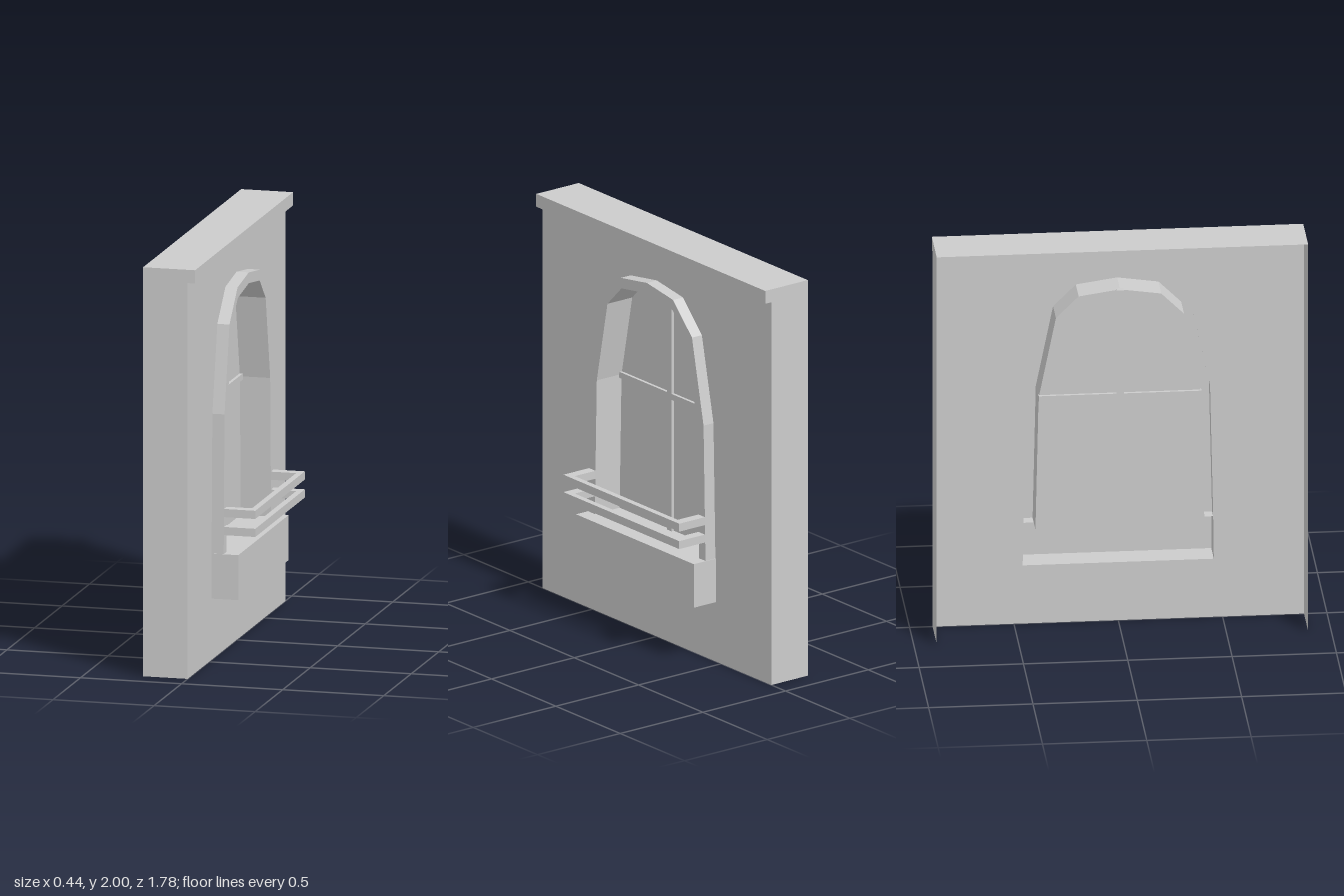
import * as THREE from 'three';

const material = new THREE.MeshStandardMaterial({ color: 0xcccccc, flatShading: true, side: THREE.DoubleSide });

// Half outlines of the arch (half width, height), from the foot to the crown
const OUTER = [[0.455, 0.52], [0.44, 1.2], [0.35, 1.62], [0.203, 1.77], [0, 1.8]];
const INNER = [[0.405, 0.52], [0.39, 1.2], [0.307, 1.61], [0.198, 1.718], [0, 1.747]];
const HALF = 0.89, BACK = -0.22, GLASS = -0.09, FRAME = 0.06;
const BOX = { half: 0.458, bottom: 0.3, top: 0.52, depth: 0.133 };

// Mirrors a half outline into a full arch, left foot to right foot
const arch = (half) => [...half, ...half.slice(0, -1).reverse().map(([x, y]) => [-x, y])];
const polygon = (pts) => pts.map(([x, y]) => new THREE.Vector2(x, y));

function addMesh(parent, name, geometry, x = 0, y = 0, z = 0) {
  const mesh = new THREE.Mesh(geometry, material);
  mesh.name = name;
  mesh.position.set(x, y, z);
  parent.add(mesh);
  return mesh;
}

// Open ribbon: a polyline of 3D points swept along one vector
function ribbon(points, sweep) {
  const position = [];
  for (let i = 0; i < points.length - 1; i++) {
    const a = points[i], b = points[i + 1];
    const c = b.map((v, k) => v + sweep[k]), d = a.map((v, k) => v + sweep[k]);
    position.push(...a, ...b, ...c, ...a, ...c, ...d);
  }
  const geometry = new THREE.BufferGeometry();
  geometry.setAttribute('position', new THREE.Float32BufferAttribute(position, 3));
  geometry.computeVertexNormals();
  return geometry;
}

// Profile (z, y) swept across the width, reversed so that it faces outward
const across = (profile, half) => ribbon(profile.map(([z, y]) => [-half, y, z]), [2 * half, 0, 0]);

// Outline (x, y) swept from z0 to z1
const through = (outline, z0, z1) => ribbon(outline.map(([x, y]) => [x, y, z0]), [0, 0, z1 - z0]);

export function createModel() {
  const model = new THREE.Group();
  model.name = 'windowWall';
  // Built facing +z, then turned so that the window faces +x
  const panel = new THREE.Group();
  panel.name = 'wallPanel';
  panel.rotation.y = Math.PI / 2;
  model.add(panel);

  // Wall face with an opening for the window and planter
  const wall = new THREE.Shape(polygon([[-HALF, 0], [HALF, 0], [HALF, 2], [-HALF, 2]]));
  wall.holes.push(new THREE.Path(polygon([
    [BOX.half, BOX.bottom], ...arch(OUTER), [-BOX.half, BOX.bottom]])));
  addMesh(panel, 'wallFace', new THREE.ShapeGeometry(wall));

  // Top with overhanging cornice
  addMesh(panel, 'cornice', across([[0, 1.935], [0.037, 1.935], [0.037, 2], [BACK, 2]], HALF));

  for (const side of [-1, 1]) {
    const label = side > 0 ? 'right' : 'left';
    // Wall returns and cornice ends
    addMesh(panel, label + 'WallReturn', through([[side * HALF, 0], [side * HALF, 2]], BACK, 0));
    addMesh(panel, label + 'CorniceEnd', through([[side * HALF, 1.935], [side * HALF, 2]], 0, 0.037));
    // Planter ends
    addMesh(panel, label + 'PlanterEnd',
      through([[side * BOX.half, BOX.bottom], [side * BOX.half, BOX.top]], 0, BOX.depth));
  }

  // Window surround: front ring, outer edge and deep reveal
  const ring = new THREE.Shape(polygon([...arch(OUTER), ...arch(INNER).reverse()]));
  addMesh(panel, 'frameFront', new THREE.ShapeGeometry(ring), 0, 0, FRAME);
  addMesh(panel, 'frameEdge', through(arch(OUTER), 0, FRAME));
  addMesh(panel, 'windowReveal', through(arch(INNER), GLASS, FRAME));

  // Glazing with crossed glazing bars
  const pane = new THREE.Shape(polygon(arch(INNER)));
  addMesh(panel, 'windowPane', new THREE.ShapeGeometry(pane), 0, 0, GLASS);
  addMesh(panel, 'verticalBar', new THREE.BoxGeometry(0.035, 1.227, 0.03), 0, 1.1335, GLASS);
  addMesh(panel, 'horizontalBar', new THREE.BoxGeometry(0.78, 0.03, 0.03), 0, 1.2, GLASS);

  // Sill and planter, open towards the back
  addMesh(panel, 'sill', across([[0, BOX.top], [GLASS, BOX.top]], INNER[0][0]));
  addMesh(panel, 'planter', across(
    [[0, BOX.bottom], [BOX.depth, BOX.bottom], [BOX.depth, BOX.top], [0, BOX.top]], BOX.half));

  // Two U-shaped railings
  const rail = new THREE.Shape(polygon([
    [-0.45, -FRAME], [-0.45, -0.215], [0.45, -0.215], [0.45, -FRAME],
    [0.4, -FRAME], [0.4, -0.185], [-0.4, -0.185], [-0.4, -FRAME]]));
  const railGeometry = new THREE.ExtrudeGeometry(rail, { depth: 0.04, bevelEnabled: false });
  railGeometry.rotateX(-Math.PI / 2);
  for (const [name, y] of [['lowerRail', 0.612], ['upperRail', 0.7]]) addMesh(panel, name, railGeometry, 0, y, 0);

  return model;
}
